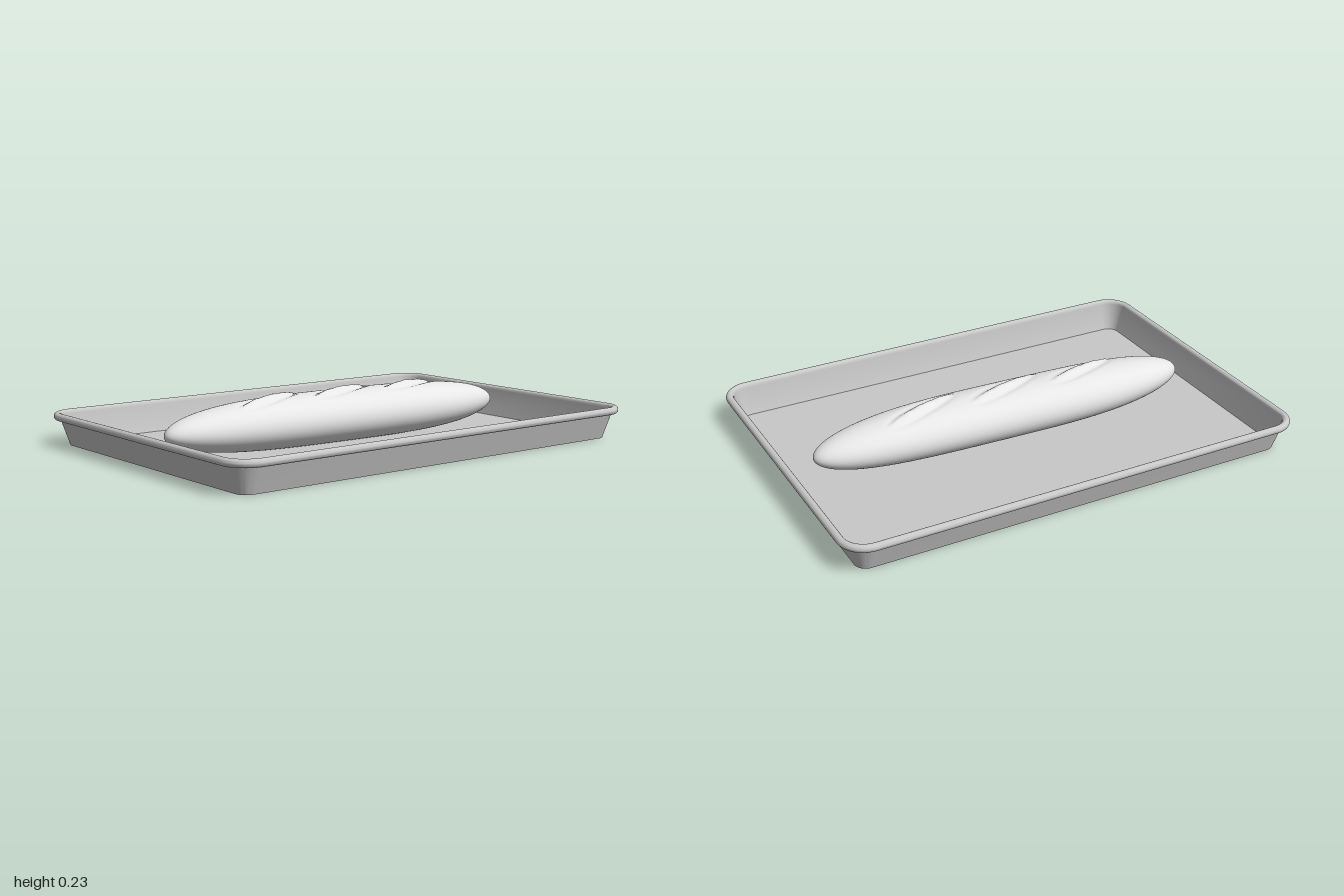
import * as THREE from 'three';
import { mergeVertices, toCreasedNormals } from 'three/addons/utils/BufferGeometryUtils.js';

const trayMetal = new THREE.MeshStandardMaterial({ color: 0xc8c8c8 });
trayMetal.name = 'tray grey';
const crust = new THREE.MeshStandardMaterial({ color: 0xe6e6e6 });
crust.name = 'crust pale grey';

// Skin a list of closed loops; each loop is an array of [x, y, z] of equal length.
function skin(loops) {
  const n = loops[0].length, index = [];
  for (let j = 0; j < loops.length - 1; j++) {
    for (let i = 0; i < n; i++) {
      const k = (i + 1) % n, a = j * n + i, b = j * n + k, c = a + n, d = b + n;
      index.push(a, c, b, b, c, d);
    }
  }
  const g = new THREE.BufferGeometry();
  g.setAttribute('position', new THREE.Float32BufferAttribute(loops.flat(2), 3));
  g.setIndex(index);
  return g;
}

// Rounded rectangle grown outwards from the tray's base by offset o, at height y.
function trayLoop(o, y) {
  const pts = [], r = 0.05 + o, cx = 0.886, cz = 0.592, steps = 10;
  [[1, 1], [-1, 1], [-1, -1], [1, -1]].forEach(([sx, sz], q) => {
    for (let i = 0; i <= steps; i++) {
      const a = (q + i / steps) * Math.PI / 2;
      pts.push([sx * cx + r * Math.cos(a), y, sz * cz + r * Math.sin(a)]);
    }
  });
  return pts;
}

function makeTray() {
  const flat = (y) => trayLoop(0, y).map(() => [0, y, 0]);
  const loops = [flat(0), trayLoop(0, 0), trayLoop(0.036, 0.105)];
  // rolled rim
  for (let i = 0; i <= 16; i++) {
    const a = THREE.MathUtils.degToRad(-100 + i * 18);
    loops.push(trayLoop(0.048 + 0.016 * Math.cos(a), 0.121 + 0.016 * Math.sin(a)));
  }
  // inner wall and floor
  loops.push(trayLoop(-0.002, 0.006), flat(0.006));
  const mesh = new THREE.Mesh(toCreasedNormals(skin(loops), 0.6), trayMetal);
  mesh.name = 'bakingTray';
  return mesh;
}

// Height change of the crust: three slanted slashes with a swollen, ragged middle.
function slashHeight(x, z) {
  let h = 0;
  for (const cx of [-0.37, 0, 0.375]) {
    const dx = x - cx, dz = z - 0.003, c = Math.cos(0.3), s = Math.sin(0.3);
    const u = (dx * c - dz * s) / 0.18, v = (dx * s + dz * c) / 0.042;
    if (Math.abs(u) >= 1) continue;
    const w = Math.sqrt(1 - u * u);
    const rag = 0.002 * Math.sin(x * 95) * Math.sin(x * 41 + z * 60);
    const swell = Math.exp(-Math.pow(v / (0.5 * w), 2));
    const cut = Math.exp(-Math.pow((Math.abs(v) - 0.85 * w) / 0.3, 2));
    h += w * (swell * (0.012 + rag) - cut * 0.007);
  }
  return h;
}

function makeLoaf() {
  const loops = [], rings = 220, sides = 120;
  for (let j = 0; j <= rings; j++) {
    const t = -Math.cos(Math.PI * j / rings), x = 0.85 * t;
    const w = Math.sqrt(Math.max(0, 1 - Math.abs(t) ** 3.3));
    const zc = 0.01 * Math.sin(Math.PI * t);
    const loop = [];
    for (let i = 0; i < sides; i++) {
      const a = i / sides * Math.PI * 2;
      const z = zc + 0.147 * w * Math.cos(a), up = Math.sin(a);
      let y = 0.106 + (up > 0 ? 0.112 : 0.105) * w * up;
      if (up > 0) y += slashHeight(x, z) * up;
      loop.push([x, Math.max(y, 0.007), z]);
    }
    loops.push(loop);
  }
  const g = mergeVertices(skin(loops), 1e-5);
  g.computeVertexNormals();
  const mesh = new THREE.Mesh(g, crust);
  mesh.name = 'breadLoaf';
  return mesh;
}

export function createModel() {
  const group = new THREE.Group();
  group.name = 'loafOnTray';
  group.add(makeTray(), makeLoaf());
  return group;
}
